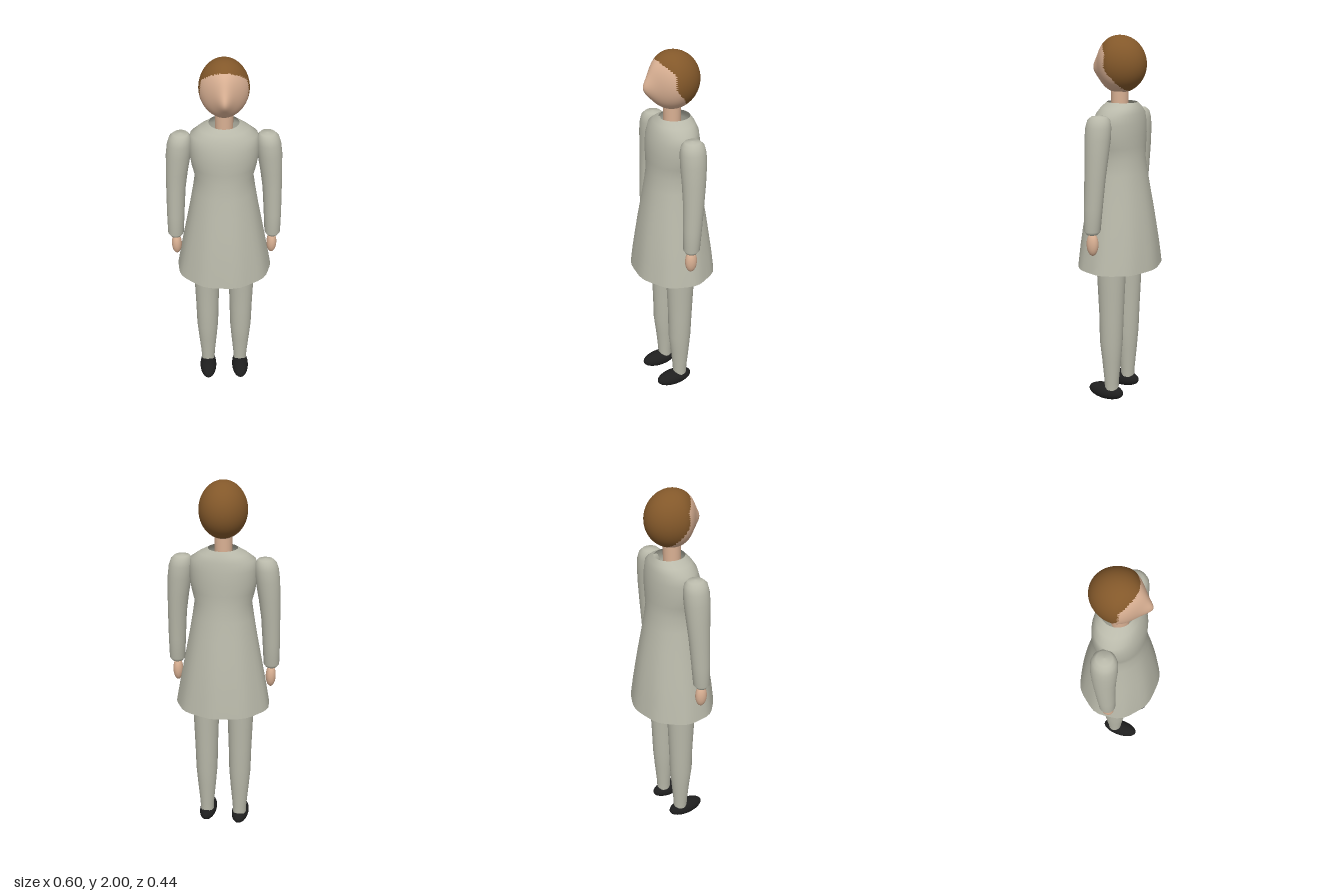
import * as THREE from 'three';
import { mergeVertices } from 'three/addons/utils/BufferGeometryUtils.js';

const material = (name, color, side = THREE.FrontSide) => {
  const m = new THREE.MeshStandardMaterial({ color, side });
  m.name = name;
  return m;
};

// Skin of elliptical rings, bottom to top: [y, rx, rz, cx, cz]
function loft(rings, sides, ripple = () => 1) {
  const pos = [], index = [];
  rings.forEach(([y, rx, rz, cx = 0, cz = 0], r) => {
    for (let i = 0; i < sides; i++) {
      const a = (i / sides) * Math.PI * 2;
      const k = ripple(a, y);
      pos.push(cx + Math.cos(a) * rx * k, y, cz + Math.sin(a) * rz * k);
      if (r === 0) continue;
      const j = (i + 1) % sides, lo = (r - 1) * sides, hi = r * sides;
      index.push(lo + i, hi + i, lo + j, hi + i, hi + j, lo + j);
    }
  });
  const g = new THREE.BufferGeometry();
  g.setAttribute('position', new THREE.Float32BufferAttribute(pos, 3));
  g.setIndex(index);
  g.computeVertexNormals();
  return g;
}

// Head with a tapered face and pointed nose; faces behind the hairline form the hair group
function headGeometry() {
  const cy = 1.855;
  let g = new THREE.SphereGeometry(1, 64, 48);
  g.deleteAttribute('uv');
  g.deleteAttribute('normal');
  g = mergeVertices(g);
  const p = g.attributes.position;
  for (let i = 0; i < p.count; i++) {
    let x = p.getX(i) * 0.123, z = p.getZ(i) * 0.142;
    const y = cy + p.getY(i) * 0.145;
    if (z > 0) {
      x *= 1 - 0.48 * (z / 0.142) ** 2;
      z *= 0.92;
      z += 0.026 * Math.exp(-(((y - 1.83) / 0.05) ** 2) - (x / 0.035) ** 2) * Math.min(1, z / 0.08);
    }
    p.setXYZ(i, x, y, z);
  }
  g.computeVertexNormals();
  const hairline = (y) =>
    y > 1.91 ? 0.03 + (y - 1.91) : y > 1.84 ? 0.03 : 0.03 - (1.84 - y) * 0.75;
  const hair = [], face = [], ix = g.index.array;
  for (let i = 0; i < ix.length; i += 3) {
    const t = [ix[i], ix[i + 1], ix[i + 2]];
    const mean = (f) => (f(t[0]) + f(t[1]) + f(t[2])) / 3;
    const y = mean((v) => p.getY(v)), z = mean((v) => p.getZ(v));
    (z < hairline(y) ? hair : face).push(...t);
  }
  g.setIndex([...face, ...hair]);
  g.addGroup(0, face.length, 0);
  g.addGroup(face.length, hair.length, 1);
  return g;
}

export function createModel() {
  const model = new THREE.Group();
  const cloth = material('cloth', 0xb9b9aa, THREE.DoubleSide);
  const skin = material('skin', 0xd9b093);
  const hair = material('hair', 0x83582a);
  const leather = material('shoe leather', 0x1f1f1f);

  const add = (name, geometry, mat) => {
    const mesh = new THREE.Mesh(geometry, mat);
    mesh.name = name;
    model.add(mesh);
    return mesh;
  };
  const ellipsoid = (name, mat, [x, y, z], [rx, ry, rz]) => {
    const mesh = add(name, new THREE.SphereGeometry(1, 32, 20), mat);
    mesh.position.set(x, y, z);
    mesh.scale.set(rx, ry, rz);
  };

  // Head and neck
  add('head', headGeometry(), [skin, hair]);
  add('neck', new THREE.CylinderGeometry(0.045, 0.045, 0.17, 32), skin).position.y = 1.665;

  // Dress: open at the neck and hem, lightly rippled towards the hem
  const folds = (a, y) => {
    const t = THREE.MathUtils.clamp((1.4 - y) / 0.6, 0, 1);
    return 1 + 0.014 * t * Math.cos(9 * a + 0.8);
  };
  add('dress', loft([
    [0.79, 0.255, 0.219],
    [0.9, 0.236, 0.207],
    [1.0, 0.217, 0.193],
    [1.1, 0.198, 0.178],
    [1.2, 0.179, 0.16],
    [1.3, 0.162, 0.143],
    [1.38, 0.15, 0.132],
    [1.44, 0.165, 0.131],
    [1.5, 0.175, 0.131],
    [1.56, 0.175, 0.126, 0, -0.002],
    [1.61, 0.168, 0.114, 0, -0.006],
    [1.64, 0.125, 0.1, 0, -0.01],
    [1.665, 0.076, 0.08, 0, -0.014],
  ], 40, folds), cloth);

  for (const [side, s] of [['left', 1], ['right', -1]]) {
    // Sleeve, closed at cuff and shoulder
    add(side + 'Sleeve', loft([
      [1.012, 0, 0, s * 0.258, 0.022],
      [1.012, 0.03, 0.03, s * 0.258, 0.022],
      [1.03, 0.042, 0.043, s * 0.258, 0.021],
      [1.15, 0.046, 0.049, s * 0.255, 0.016],
      [1.3, 0.05, 0.055, s * 0.249, 0.008],
      [1.4, 0.056, 0.061, s * 0.241, 0.004],
      [1.5, 0.063, 0.067, s * 0.23, 0.002],
      [1.56, 0.062, 0.066, s * 0.223, 0.001],
      [1.595, 0.054, 0.058, s * 0.219, 0.001],
      [1.612, 0.038, 0.04, s * 0.216, 0.001],
      [1.617, 0, 0, s * 0.215, 0.001],
    ], 24), cloth);
    ellipsoid(side + 'Hand', skin, [s * 0.256, 0.957, 0.022], [0.027, 0.062, 0.032]);

    // Leg with a slight calf
    const x = s * 0.096;
    add(side + 'Leg', loft([
      [0.07, 0.038, 0.039, x],
      [0.12, 0.04, 0.041, x],
      [0.25, 0.052, 0.053, x],
      [0.36, 0.061, 0.064, x, 0.002],
      [0.5, 0.064, 0.067, x],
      [0.65, 0.069, 0.074, x],
      [0.8, 0.075, 0.081, x],
      [1.0, 0.08, 0.086, x],
      [1.0, 0, 0, x],
    ], 24), cloth);
    ellipsoid(side + 'Shoe', leather, [x, 0.045, 0.036], [0.048, 0.045, 0.106]);
  }
  return model;
}
